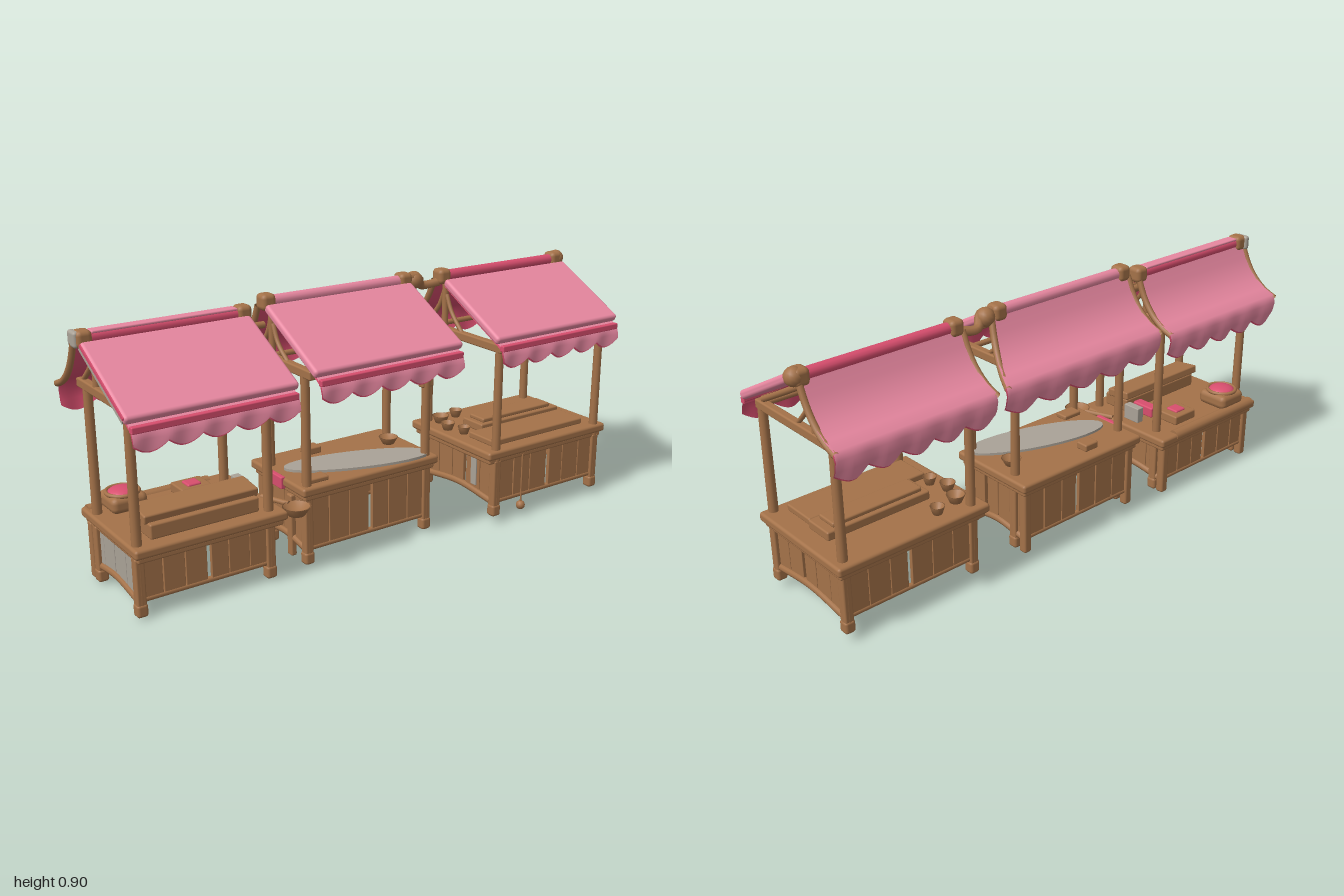
import * as THREE from 'three';
import { RoundedBoxGeometry } from 'three/addons/geometries/RoundedBoxGeometry.js';

const wood = new THREE.MeshStandardMaterial({ color: 0xa47249, name: 'wood', side: THREE.DoubleSide });
const pink = new THREE.MeshStandardMaterial({ color: 0xf48fa9, name: 'pinkCloth' });
const crimson = new THREE.MeshStandardMaterial({ color: 0xd84e6e, name: 'crimsonCloth', side: THREE.DoubleSide });
const grey = new THREE.MeshStandardMaterial({ color: 0xaaa297, name: 'greyBoard' });

let seed = 7;
const rand = () => (seed = (seed * 16807) % 2147483647) / 2147483647;
const V = (x, y, z) => new THREE.Vector3(x, y, z);

function add(g, name, geo, mat, x = 0, y = 0, z = 0) {
  const m = new THREE.Mesh(geo, mat);
  m.name = name;
  m.position.set(x, y, z);
  g.add(m);
  return m;
}

// softly rounded block given by its min and max limits
function block(g, name, mat, x0, x1, y0, y1, z0, z1, r = 0.006) {
  const w = x1 - x0, h = y1 - y0, d = z1 - z0;
  const geo = new RoundedBoxGeometry(w, h, d, 2, Math.min(r, w / 2.1, h / 2.1, d / 2.1));
  return add(g, name, geo, mat, (x0 + x1) / 2, (y0 + y1) / 2, (z0 + z1) / 2);
}

// round pole between two points
function pole(g, name, mat, a, b, r, r2 = r) {
  const m = add(g, name, new THREE.CylinderGeometry(r2, r, a.distanceTo(b), 12), mat);
  m.position.copy(a).lerp(b, 0.5);
  m.quaternion.setFromUnitVectors(V(0, 1, 0), b.clone().sub(a).normalize());
  return m;
}

function bent(g, name, mat, pts, r) {
  return add(g, name, new THREE.TubeGeometry(new THREE.CatmullRomCurve3(pts), 16, r, 8), mat);
}

// how far the left slope spreads backwards at a given x
const spread = (x, flare) => flare * (0.25 + 0.75 * Math.min(1, (-0.1 - x) / 0.165));

// cloth hung along a profile of [x, y]; a valance waves slightly and ends in scallops
function cloth(profile, zFrom, zTo, flare, inset, valance = true) {
  const rows = profile.length - 1, isLeft = zTo > zFrom;
  const geo = new THREE.PlaneGeometry(1, 1, 60, rows);
  const p = geo.attributes.position;
  for (let i = 0; i < p.count; i++) {
    const u = p.getX(i) + 0.5, k = Math.round((0.5 - p.getY(i)) * rows);
    let [x, y] = profile[k];
    const back = isLeft ? (1 - u) * spread(x, flare) : 0;
    if (valance && k === rows) y += 0.026 * (1 - Math.abs(Math.sin(u * Math.PI * 5)));
    if (valance && k >= rows - 1) x += 0.004 * Math.cos(u * Math.PI * 10);
    p.setXYZ(i, x + (isLeft ? inset : -inset), y - inset, zFrom + (zTo - zFrom) * u - back);
  }
  geo.computeVertexNormals();
  return geo;
}

// row of planks with one wide gap forming a wall, along 'x' or 'z'
function planks(g, name, mat, axis, from, to, at, y0, y1) {
  const n = Math.max(4, Math.round((to - from) / 0.08)), w = (to - from) / n;
  for (let i = 0; i < n; i++) {
    const gap = mat === wood && i === 2 ? 0.016 : 0.001 + 0.003 * rand();
    const a = from + i * w, b = a + w - gap, low = y0 + 0.006 * rand();
    if (axis === 'x') block(g, name, mat, a, b, low, y1, at - 0.007, at + 0.007, 0.002);
    else block(g, name, mat, at - 0.007, at + 0.007, low, y1, a, b, 0.002);
  }
}

const leftProfile = [[-0.1, 0.865], [-0.125, 0.81], [-0.15, 0.772], [-0.18, 0.741], [-0.22, 0.714],
  [-0.262, 0.698], [-0.272, 0.67], [-0.269, 0.635], [-0.262, 0.595]];
const rightProfile = [[-0.06, 0.838], [0.09, 0.757], [0.235, 0.682], [0.256, 0.668], [0.261, 0.64], [0.262, 0.602]];

function roof(g, s) {
  const r = new THREE.Group();
  r.name = 'roof';
  r.position.set(0, s.lift, 0);
  const [z0, z1] = s.roofZ, zm = (z0 + z1) / 2, len = z1 - z0;
  // padded right slope
  const slab = add(r, 'rightSlope', new RoundedBoxGeometry(0.338, 0.03, len, 3, 0.012), pink, 0.091 + s.out, 0.773, zm);
  slab.rotation.z = -Math.atan2(0.165, 0.31);
  if (s.edgeBands) {
    add(slab, 'edgeBandUpper', new THREE.BoxGeometry(0.322, 0.011, 0.004), crimson, 0, 0.005, len / 2);
    add(slab, 'edgeBandLower', new THREE.BoxGeometry(0.322, 0.01, 0.004), grey, 0, -0.0065, len / 2);
  }
  // hanging cloths, pink outside and crimson inside
  const shift = rightProfile.map(([x, y]) => [x + s.out, y]);
  for (const [name, prof, a, b] of [['rightAwning', shift, z1 - 0.012, z0 + 0.012], ['leftAwning', leftProfile, z0, z1]]) {
    add(r, name, cloth(prof, a, b, s.flare, 0), pink);
    add(r, name + 'Lining', cloth(prof, a, b, s.flare, 0.006), crimson);
  }
  if (s.gableBoard) add(r, 'gableBoard', cloth(leftProfile.slice(0, 6), z0, z0 + 0.09, s.flare, 0.01, false), wood);
  block(r, 'eaveTrim', crimson, 0.24 + s.out, 0.26 + s.out, 0.66, 0.682, z0 + 0.012, z1 - 0.012, 0.004);
  // ridge pole with wooden ends
  pole(r, 'ridge', s.ridge, V(-0.088, 0.866, z0 + 0.03), V(-0.088, 0.866, z1 - 0.03), 0.02);
  if (s.ridgeCover) block(r, 'ridgeCover', pink, -0.108, -0.068, 0.88, 0.889, z0 + 0.04, z1 - 0.045, 0.004);
  for (const z of [z0 + 0.015, z1 - 0.02]) {
    block(r, 'ridgeEnd', wood, -0.116, -0.06, 0.838, 0.894, z - 0.026, z + 0.026, 0.016);
  }
  // curved rafters at both ends of the left slope
  for (const z of [z0, z1 - 0.003]) {
    const flare = z < zm ? s.flare : 0;
    bent(r, 'leftRafter', wood, leftProfile.slice(0, 6).map(([x, y]) => V(x - 0.002, y - 0.012, z + 0.006 - spread(x, flare))), 0.011);
  }
  g.add(r);
}

function frame(g, s) {
  const [xl, xr] = s.postX, top = s.beamY;
  for (const z of s.postZ) {
    for (const x of [xl, xr]) {
      pole(g, 'post', wood, V(x, s.foot + 0.03, z), V(x, top, z), 0.017, 0.015);
      block(g, 'postFoot', wood, x - 0.019, x + 0.019, s.foot, s.foot + 0.045, z - 0.019, z + 0.019, 0.01);
      block(g, 'legSleeve', wood, x - 0.016, x + 0.016, s.foot + 0.03, s.top - 0.02, z - 0.016, z + 0.016, 0.006);
    }
    // truss over each pair of posts
    block(g, 'tieBeam', wood, -0.22, Math.min(xr + 0.05, 0.235), top - 0.016, top + 0.016, z - 0.014, z + 0.014);
    pole(g, 'kingPost', wood, V(-0.088, top, z), V(-0.088, 0.85 + s.lift, z), 0.012);
    pole(g, 'rightRafter', wood, V(-0.07, 0.825 + s.lift, z), V(0.2, 0.684 + s.lift, z), 0.011);
    bent(g, 'brace', wood, [V(-0.08, 0.8, z), V(-0.05, 0.74, z), V(0.02, top, z)], 0.008);
    bent(g, 'brace', wood, [V(-0.09, 0.82, z), V(-0.12, 0.755, z), V(-0.19, top + 0.01, z)], 0.009);
  }
  for (const x of s.postX) pole(g, 'sideBeam', wood, V(x, top, s.postZ[0]), V(x, top, s.postZ[1]), 0.01);
}

function counter(g, s) {
  const [x0, x1] = s.topX, [z0, z1] = s.topZ, xr = s.postX[1], [pz0, pz1] = s.postZ;
  block(g, 'counterTop', wood, x0, x1, s.top - 0.012, s.top + 0.02, z0, z1, 0.01);
  block(g, 'counterRim', wood, x0 + 0.012, x1 - 0.012, s.top - 0.03, s.top - 0.01, z0 + 0.012, z1 - 0.012, 0.006);
  const bottom = s.foot + 0.055, up = s.top - 0.02, xw = s.wallX;
  planks(g, 'rightWall', wood, 'z', pz0, pz1, xr, bottom, up);
  planks(g, 'leftWall', wood, 'z', pz0, pz1, xw, bottom, up);
  planks(g, 'frontWall', s.front, 'x', xw, xr, pz1 - 0.004, bottom, up);
  planks(g, 'backWall', wood, 'x', xw, xr, pz0 + 0.004, bottom, up);
  // lower rails, slightly arched at the ends
  for (const z of s.postZ) {
    bent(g, 'endRail', wood, [V(xw, bottom - 0.006, z), V((xw + xr) / 2, bottom + 0.014, z), V(xr, bottom - 0.006, z)], 0.013);
    block(g, 'cornerLeg', wood, xw - 0.016, xw + 0.016, s.foot, s.top - 0.02, z - 0.016, z + 0.016, 0.008);
  }
  for (const x of [xw, xr]) pole(g, 'sideRail', wood, V(x, bottom, pz0), V(x, bottom, pz1), 0.01);
}

// lathe-turned bowl
function bowl(g, x, y, z, r, h) {
  const pts = [[0, 0], [r * 0.6, 0], [r, h], [r * 0.9, h], [r * 0.5, h * 0.35], [0, h * 0.3]];
  add(g, 'bowl', new THREE.LatheGeometry(pts.map(p => new THREE.Vector2(...p)), 20), wood, x, y, z);
}

const stalls = [
  { name: 'frontStall', postX: [-0.165, 0.13], postZ: [0.47, 0.93], wallX: -0.205, topX: [-0.245, 0.175], topZ: [0.42, 0.955],
    top: 0.23, foot: 0.012, beamY: 0.68, lift: -0.015, roofZ: [0.405, 0.985], out: -0.01, flare: 0,
    ridge: crimson, ridgeCover: true, edgeBands: true, front: grey },
  { name: 'middleStall', postX: [-0.12, 0.11], postZ: [-0.185, 0.31], wallX: -0.17, topX: [-0.21, 0.14], topZ: [-0.225, 0.34],
    top: 0.27, foot: 0.008, beamY: 0.68, lift: 0.01, roofZ: [-0.245, 0.35], out: -0.008, flare: 0.1,
    ridge: pink, gableBoard: true, front: wood },
  { name: 'backStall', postX: [-0.175, 0.215], postZ: [-0.915, -0.425], wallX: -0.175, topX: [-0.215, 0.24], topZ: [-0.955, -0.375],
    top: 0.27, foot: 0.035, beamY: 0.665, lift: 0.004, roofZ: [-0.97, -0.385], out: 0.006, flare: 0,
    ridge: crimson, gableBoard: true, front: wood },
];

export function createModel() {
  const model = new THREE.Group();
  model.name = 'marketStalls';
  const [a, b, c] = stalls.map(s => {
    const g = new THREE.Group();
    g.name = s.name;
    roof(g, s);
    frame(g, s);
    counter(g, s);
    model.add(g);
    return g;
  });

  // front stall goods
  block(a, 'ridgeStone', grey, -0.124, -0.07, 0.825, 0.877, 0.975, 0.998, 0.01);
  block(a, 'longChest', wood, 0.015, 0.125, 0.25, 0.3, 0.5, 0.88);
  block(a, 'chestLid', wood, 0.005, 0.105, 0.3, 0.33, 0.49, 0.89).rotation.z = -0.12;
  block(a, 'crate', wood, -0.19, -0.1, 0.25, 0.285, 0.55, 0.66);
  block(a, 'crateCloth', crimson, -0.165, -0.115, 0.28, 0.292, 0.58, 0.63);
  block(a, 'bookStack', crimson, -0.085, 0.01, 0.25, 0.29, 0.53, 0.57);
  block(a, 'slate', grey, -0.08, -0.01, 0.25, 0.308, 0.46, 0.49, 0.003);
  block(a, 'fruitStand', wood, -0.23, -0.105, 0.25, 0.305, 0.775, 0.9, 0.02);
  add(a, 'fruitHeap', new THREE.SphereGeometry(0.05, 16, 10), crimson, -0.165, 0.302, 0.84).scale.y = 0.4;
  add(a, 'standRim', new THREE.TorusGeometry(0.053, 0.007, 8, 24), wood, -0.165, 0.306, 0.84).rotation.x = Math.PI / 2;
  pole(a, 'cornerRoll', wood, V(-0.225, 0.238, 0.5), V(-0.225, 0.238, 0.94), 0.022);

  // hanging pan beside the front stall
  bowl(a, 0.165, 0.225, 0.385, 0.048, 0.03);
  pole(a, 'panHandle', wood, V(0.125, 0.25, 0.39), V(0.02, 0.25, 0.43), 0.009);

  // middle stall goods: a long grey sheet laid askew with small wares
  const sheet = add(b, 'greySheet', new THREE.CylinderGeometry(1, 1, 0.012, 28), grey, 0.025, 0.293, 0.045);
  sheet.scale.set(0.078, 1, 0.265);
  sheet.rotation.y = -0.3;
  block(b, 'drapedCloth', crimson, -0.09, 0.01, 0.25, 0.293, 0.33, 0.348, 0.004);
  block(b, 'boxOnCounter', wood, -0.17, -0.12, 0.288, 0.315, 0.1, 0.16);
  block(b, 'tray', wood, 0.06, 0.11, 0.288, 0.306, 0.22, 0.3);
  bowl(b, -0.06, 0.29, -0.15, 0.035, 0.025);
  block(b, 'greyPlank', grey, -0.03, 0.03, 0.08, 0.24, 0.295, 0.301, 0.002);
  block(b, 'middleLeg', wood, 0.002, 0.032, 0.005, 0.23, 0.303, 0.325);
  block(b, 'postBracket', wood, 0.088, 0.118, 0.54, 0.605, -0.215, -0.165);
  bent(b, 'ridgeBranch', wood, [V(-0.088, 0.885, -0.25), V(-0.08, 0.88, -0.29), V(-0.1, 0.845, -0.32), V(-0.088, 0.85, -0.39)], 0.016);
  add(b, 'branchKnot', new THREE.SphereGeometry(0.032, 14, 10), wood, -0.09, 0.87, -0.28);
  pole(b, 'linkPole', wood, V(-0.088, 0.8, 0.34), V(-0.088, 0.8, 0.42), 0.012);

  // back stall goods
  block(c, 'longBoard', wood, 0.06, 0.19, 0.288, 0.312, -0.88, -0.43);
  block(c, 'chest', wood, -0.06, 0.05, 0.288, 0.32, -0.89, -0.5);
  block(c, 'chestLid', wood, -0.045, 0.035, 0.318, 0.335, -0.86, -0.52);
  block(c, 'greyPlank', grey, 0.09, 0.12, 0.12, 0.24, -0.424, -0.417, 0.002);
  block(c, 'greyPlank', grey, -0.17, -0.163, 0.1, 0.24, -0.64, -0.59, 0.002);
  for (const [x, z, r] of [[-0.13, -0.45, 0.032], [-0.05, -0.42, 0.027], [-0.15, -0.54, 0.025], [0.02, -0.44, 0.024]]) bowl(c, x, 0.288, z, r, 0.03);
  pole(c, 'hangingCord', wood, V(0.228, 0.25, -0.545), V(0.228, 0.06, -0.545), 0.003);
  add(c, 'hangingBall', new THREE.SphereGeometry(0.017, 12, 8), wood, 0.228, 0.05, -0.545);
  add(c, 'ridgeKnob', new THREE.SphereGeometry(0.03, 14, 10), wood, -0.088, 0.872, -0.97);
  return model;
}
